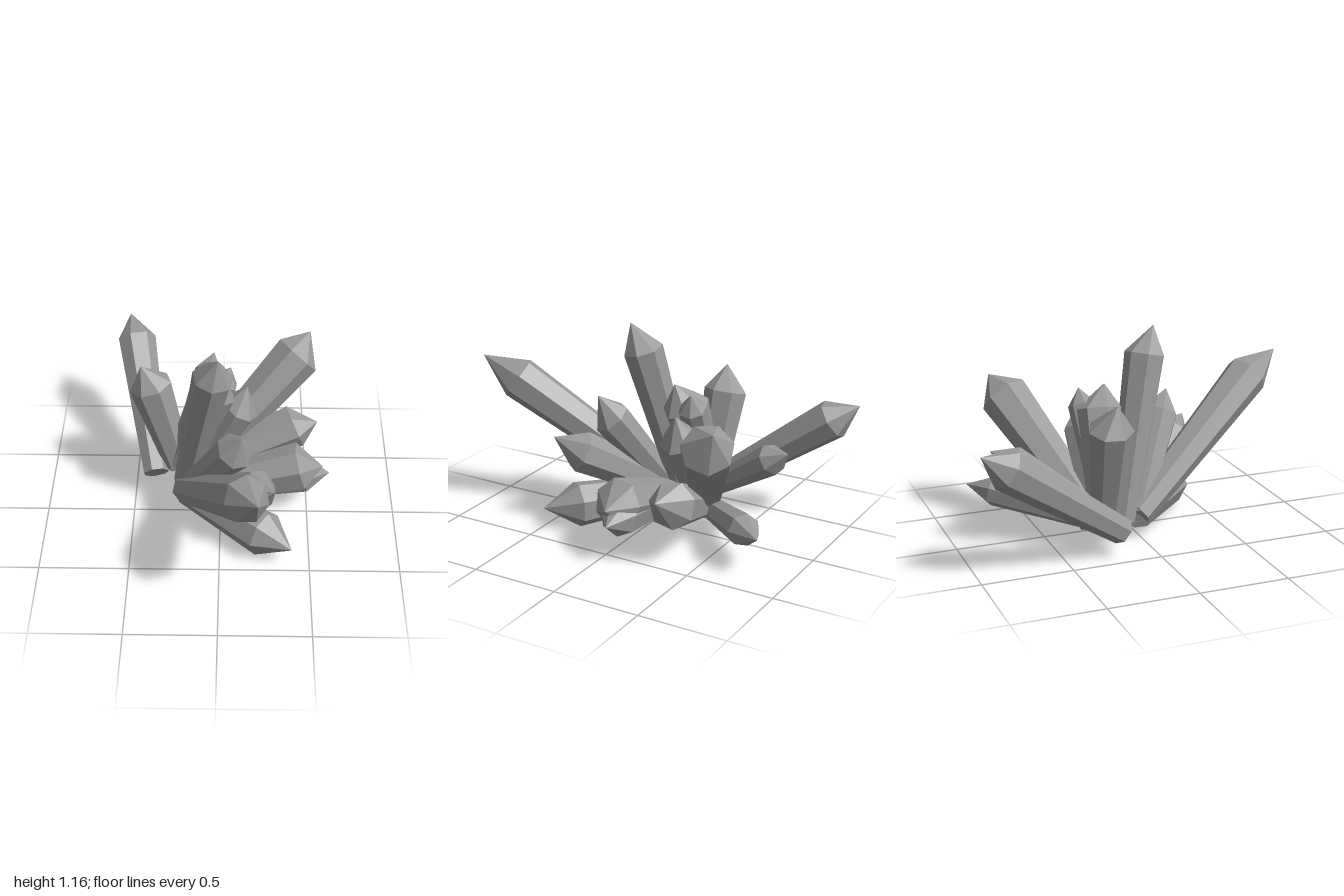
import * as THREE from 'three';

const SIDES = 7;
const UP = new THREE.Vector3(0, 1, 0);
const material = new THREE.MeshStandardMaterial({ color: 0x999999, flatShading: true });

// Faceted prism from root to shoulder, widening as it grows and closing in a point
function makeCrystal(name, root, shoulder, tip, r, spin) {
  const base = new THREE.Vector3(...root);
  const axis = new THREE.Vector3(...shoulder).sub(base);
  const length = axis.length();
  const turn = new THREE.Quaternion().setFromUnitVectors(UP, axis.normalize());
  const apex = new THREE.Vector3(...tip).sub(base).applyQuaternion(turn.clone().invert());

  const profile = [[0, 0], [r * 0.66, 0], [r, length], [0, apex.y]].map(([x, y]) => new THREE.Vector2(x, y));
  const geometry = new THREE.LatheGeometry(profile, SIDES, spin);

  // Shift the point sideways to the true tip
  const p = geometry.attributes.position;
  for (let i = profile.length - 1; i < p.count; i += profile.length) p.setXYZ(i, apex.x, apex.y, apex.z);
  geometry.computeVertexNormals();

  const mesh = new THREE.Mesh(geometry, material);
  mesh.name = name;
  mesh.position.copy(base);
  mesh.quaternion.copy(turn);
  return mesh;
}

export function createModel() {
  const group = new THREE.Group();
  group.name = 'crystalCluster';

  // Crystals of one clump fan out from a shared root
  const addClump = (root, crystals) => {
    for (const [name, shoulder, tip, r] of crystals) {
      group.add(makeCrystal(name, root, shoulder, tip, r, group.children.length * 0.7));
    }
  };

  // Middle and back right
  addClump([-0.2, 0.12, -0.11], [
    ['tallCrystal', [-0.04, 1.01, 0.085], [-0.01, 1.16, 0.145], 0.114],
  ]);
  addClump([-0.38, 0.135, -0.18], [
    ['longBackCrystal', [-0.52, 0.62, -0.86], [-0.56, 0.71, -1], 0.115],
  ]);
  addClump([-0.25, 0.17, -0.23], [
    ['rightUprightCrystal', [-0.4, 0.72, -0.25], [-0.45, 0.86, -0.23], 0.124],
    ['innerUprightCrystal', [-0.04, 0.725, -0.19], [0, 0.855, -0.14], 0.13],
    ['innerSlimCrystal', [0.02, 0.74, -0.26], [0.055, 0.83, -0.27], 0.08],
    ['smallBackCrystal', [-0.08, 0.5, -0.7], [-0.05, 0.56, -0.81], 0.088],
  ]);

  // Front
  addClump([-0.2, 0.145, -0.02], [
    ['longFrontCrystal', [0.145, 0.775, 0.8], [0.2, 0.895, 1], 0.125],
    ['frontLeftCrystal', [0.215, 0.44, 0.34], [0.3, 0.53, 0.46], 0.12],
    ['lowFrontCrystal', [0.25, 0.13, 0.34], [0.4, 0.13, 0.475], 0.13],
    ['innerFrontCrystal', [0.08, 0.62, 0.22], [0.12, 0.75, 0.28], 0.108],
  ]);

  // Left side
  addClump([-0.16, 0.125, -0.05], [
    ['leftLowerCrystal', [0.48, 0.24, -0.07], [0.625, 0.23, -0.08], 0.115],
    ['leftUpperCrystal', [0.46, 0.3, -0.05], [0.585, 0.3, -0.05], 0.14],
  ]);

  // Back left
  addClump([-0.15, 0.12, -0.25], [
    ['backLeftCrystal', [0.44, 0.71, -0.58], [0.515, 0.825, -0.65], 0.143],
    ['leftBackCrystal', [0.43, 0.35, -0.37], [0.56, 0.4, -0.34], 0.13],
    ['lowBackCrystal', [0.26, 0.22, -0.71], [0.37, 0.235, -0.84], 0.09],
    ['innerLeftCrystal', [0.11, 0.58, -0.23], [0.15, 0.73, -0.23], 0.11],
  ]);

  return group;
}
